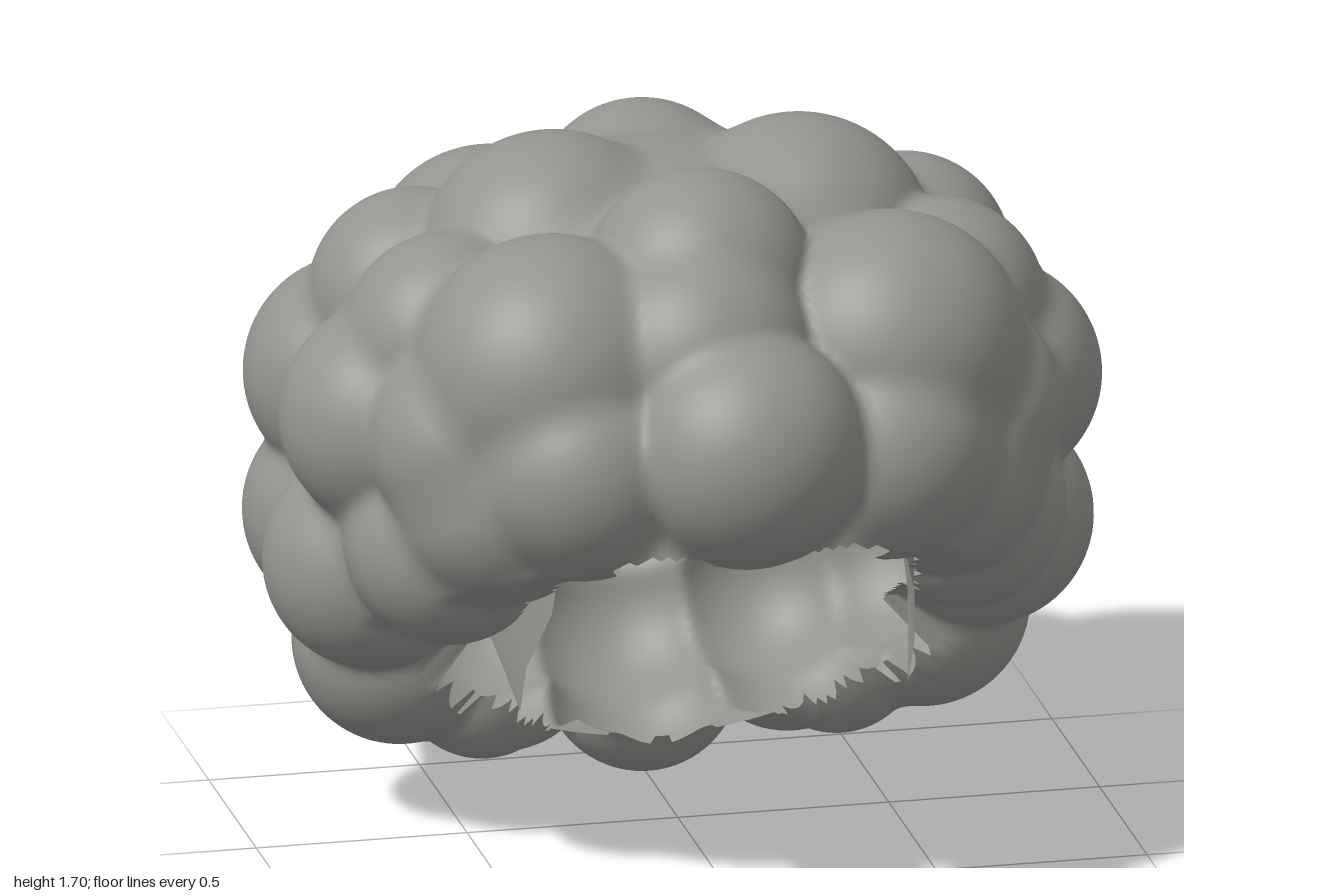
import * as THREE from 'three';
import { mergeVertices } from 'three/addons/utils/BufferGeometryUtils.js';

// Curls as spheres [x, y, z, radius]; the pairs are mirrored in x
const CENTRE_CURLS = [
  [0, 1.36, -0.38, 0.26], [0, 1.18, -0.6, 0.27], [0, 0.85, -0.72, 0.28],
  [0, 0.57, -0.7, 0.26], [0, 0.33, -0.57, 0.24], [0, 0.23, -0.38, 0.23],
  [-0.03, 1.43, 0.37, 0.27], [-0.07, 1.3, 0.52, 0.28], [0, 1.14, 0.72, 0.28],
];
const PAIRED_CURLS = [
  [0.29, 1.36, -0.02, 0.32], [0.34, 1.21, -0.47, 0.29], [0.4, 1.27, 0.45, 0.32],
  [0.58, 1.26, -0.19, 0.25], [0.58, 1.27, 0.17, 0.25], [0.7, 1.08, 0.13, 0.27],
  [0.69, 1.05, -0.29, 0.27], [0.57, 1.1, 0.41, 0.25], [0.36, 1.08, 0.6, 0.26],
  [0.52, 0.97, 0.45, 0.25], [0.61, 0.82, 0.3, 0.24], [0.72, 0.69, 0, 0.26],
  [0.7, 0.71, -0.3, 0.26], [0.62, 0.43, -0.18, 0.25], [0.53, 0.45, -0.48, 0.23],
  [0.34, 0.31, -0.36, 0.23], [0.32, 0.36, -0.57, 0.22], [0.46, 1.08, -0.54, 0.25],
  [0.35, 0.85, -0.62, 0.27], [0.34, 0.59, -0.64, 0.24], [0.42, 0.32, -0.2, 0.2],
];
const curls = [...CENTRE_CURLS];
for (const [x, y, z, r] of PAIRED_CURLS) curls.push([x, y, z, r], [-x, y, z, r]);

const ORIGIN = new THREE.Vector3(0, 0.95, -0.15);

// Far crossing of a ray from ORIGIN with an ellipsoid, or 0 when it misses
function reach(d, [cx, cy, cz], [rx, ry, rz]) {
  const ox = (ORIGIN.x - cx) / rx, oy = (ORIGIN.y - cy) / ry, oz = (ORIGIN.z - cz) / rz;
  const dx = d.x / rx, dy = d.y / ry, dz = d.z / rz;
  const a = dx * dx + dy * dy + dz * dz;
  const b = ox * dx + oy * dy + oz * dz;
  const disc = b * b - a * (ox * ox + oy * oy + oz * oz - 1);
  return disc < 0 ? 0 : (-b + Math.sqrt(disc)) / a;
}

// Distance along a ray from ORIGIN to the slanted line y = c + m z
function reachSlant(d, c, m) {
  const fall = m * d.z - d.y;
  return fall > 0 ? (ORIGIN.y - c - m * ORIGIN.z) / fall : Infinity;
}

function smoothMax(a, b, k) {
  const h = Math.max(k - Math.abs(a - b), 0) / k;
  return Math.max(a, b) + h * h * k * 0.25;
}

// Outer mass: rounded base, cut away below the face, with the curls blended over it
function curlRadius(d) {
  const round = reach(d, [0, 0.88, -0.03], [0.88, 0.74, 0.86]);
  const under = Math.max(reachSlant(d, 0.5, 0.5), reachSlant(d, 0.45, 1.8));
  const base = Math.min(round, under);
  let r = base;
  let bare = under < round;
  for (const [x, y, z, s] of curls) {
    const t = reach(d, [x, y, z], [s, s, s]);
    if (t > base) bare = false;
    if (t > 0) r = smoothMax(r, t, 0.04);
  }
  return { r, bare };
}

// Arched opening at the lower front
const inOpening = (p) => (p.x / 0.47) ** 2 + ((p.y - 0.55) / 0.52) ** 2 < 1;

// Sphere pushed out along its rays, without the faces of the opening
function curlShell() {
  const ball = new THREE.IcosahedronGeometry(1, 60);
  ball.deleteAttribute('normal');
  ball.deleteAttribute('uv');
  const geometry = mergeVertices(ball, 1e-5);
  const pos = geometry.attributes.position;
  const open = [];
  const p = new THREE.Vector3();
  for (let i = 0; i < pos.count; i++) {
    p.fromBufferAttribute(pos, i).normalize();
    const { r, bare } = curlRadius(p);
    p.multiplyScalar(r).add(ORIGIN);
    pos.setXYZ(i, p.x, p.y, p.z);
    open.push(bare && inOpening(p));
  }
  const index = geometry.index.array;
  const faces = [];
  for (let i = 0; i < index.length; i += 3) {
    const f = [index[i], index[i + 1], index[i + 2]];
    if (!f.some((v) => open[v])) faces.push(...f);
  }
  geometry.setIndex(faces);
  geometry.computeVertexNormals();
  return geometry;
}

// Pointed lock hanging beside the opening
function tuft(side) {
  const corners = [
    [0.4, 0.86, 0.56], [0.43, 0.72, 0.58], [0.46, 0.55, 0.45], [0.46, 0.42, 0.38],
    [0.48, 0.5, 0.29], [0.5, 0.57, 0.2], [0.5, 0.8, 0.26],
  ];
  const points = corners.map(([x, y, z]) => new THREE.Vector3(side * x, y, z));
  const geometry = new THREE.BufferGeometry().setFromPoints(points);
  geometry.setIndex([0, 1, 2, 0, 2, 6, 2, 3, 4, 2, 4, 5, 2, 5, 6]);
  geometry.computeVertexNormals();
  return geometry;
}

export function createModel() {
  const group = new THREE.Group();
  group.name = 'curlyHair';
  const hair = new THREE.MeshStandardMaterial({ color: 0x95938f, side: THREE.DoubleSide });
  hair.name = 'warm grey';
  const add = (name, geometry) => {
    const mesh = new THREE.Mesh(geometry, hair);
    mesh.name = name;
    group.add(mesh);
  };
  add('curls', curlShell());
  add('leftTuft', tuft(1));
  add('rightTuft', tuft(-1));
  return group;
}
